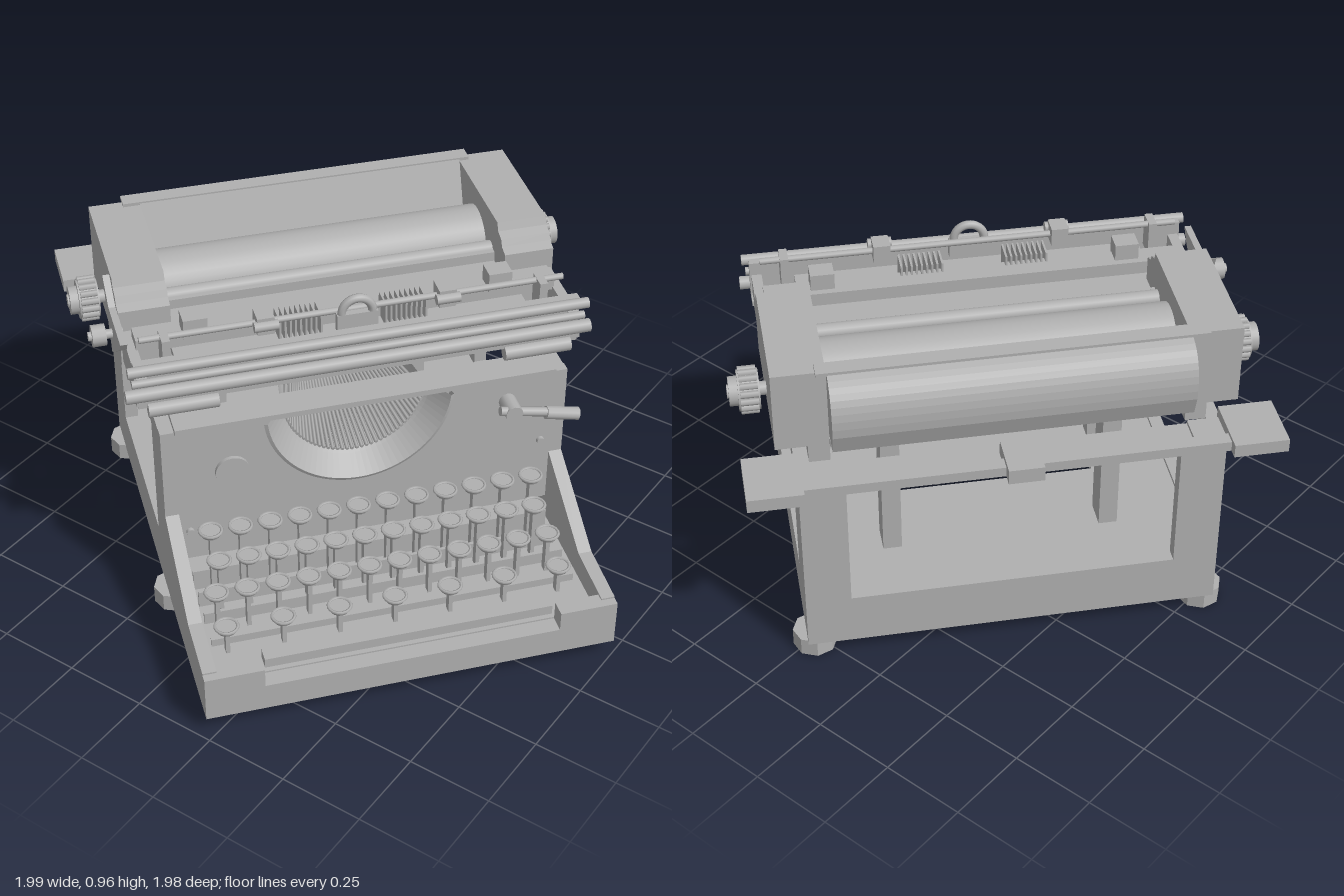
import * as THREE from 'three';

const gray = new THREE.MeshStandardMaterial({ color: 0xb0b0b0, side: THREE.DoubleSide });
gray.name = 'gray metal';

export function createModel() {
  const model = new THREE.Group();
  const machine = new THREE.Group();
  machine.name = 'typewriter';
  model.add(machine);

  const add = (name, geo, x = 0, y = 0, z = 0) => {
    const m = new THREE.Mesh(geo, gray);
    m.name = name;
    m.position.set(x, y, z);
    machine.add(m);
    return m;
  };
  const box = (name, x0, x1, y0, y1, z0, z1) =>
    add(name, new THREE.BoxGeometry(x1 - x0, y1 - y0, z1 - z0), (x0 + x1) / 2, (y0 + y1) / 2, (z0 + z1) / 2);
  // cylinder lying along x
  const bar = (name, x0, x1, y, z, r, sides = 16) =>
    add(name, new THREE.CylinderGeometry(r, r, x1 - x0, sides).rotateZ(Math.PI / 2), (x0 + x1) / 2, y, z);
  // cylinder between two points
  const rod = (name, a, b, r, sides = 8) => {
    const p = new THREE.Vector3(...a), d = new THREE.Vector3(...b).sub(p);
    const m = add(name, new THREE.CylinderGeometry(r, r, d.length(), sides));
    m.position.copy(p).addScaledVector(d, 0.5);
    m.quaternion.setFromUnitVectors(new THREE.Vector3(0, 1, 0), d.normalize());
  };
  const outline = pts => new THREE.Shape(pts.map(p => new THREE.Vector2(...p)));
  // (z, y) profile extruded from x0 to x1
  const slab = (name, shape, x0, x1) =>
    add(name, new THREE.ExtrudeGeometry(shape, { depth: x1 - x0, bevelEnabled: false, curveSegments: 10 }).rotateY(-Math.PI / 2), x1);

  // ---- frame: side walls with window, sloped cheek and hanging U bracket
  const side = outline([[-0.57, 0.05], [0.78, 0.05], [0.78, 0.2], [0.59, 0.21], [0.28, 0.38], [0.28, 0.66], [-0.15, 0.655], [-0.15, 0.6]]);
  side.absarc(-0.2, 0.6, 0.05, 0, -Math.PI, true);
  side.lineTo(-0.25, 0.655);
  side.lineTo(-0.57, 0.655);
  const win = new THREE.Path();
  win.moveTo(-0.395, 0.21);
  win.lineTo(0.155, 0.21);
  win.lineTo(0.155, 0.605);
  win.lineTo(-0.13, 0.605);
  win.absarc(-0.2, 0.6, 0.07, 0, -Math.PI, true);
  win.lineTo(-0.27, 0.605);
  win.lineTo(-0.395, 0.605);
  side.holes.push(win);
  slab('leftSideWall', side, 0.56, 0.6);
  slab('rightSideWall', side, -0.6, -0.56);

  // back frame
  box('backSill', -0.56, 0.56, 0.05, 0.21, -0.57, -0.53);
  box('backTopBeam', -0.56, 0.56, 0.605, 0.655, -0.57, -0.5);
  for (const s of [-1, 1]) {
    const span = (a, b) => (s > 0 ? [a, b] : [-b, -a]);
    box('backPost', ...span(0.47, 0.56), 0.21, 0.61, -0.57, -0.53);
    box('carriageBracket', ...span(0.59, 0.745), 0.655, 0.695, -0.67, -0.49);
    box('bracketArm', ...span(0.5, 0.6), 0.63, 0.665, -0.61, -0.5);
    box('hangingPlate', ...span(0.295, 0.35), 0.2, 0.59, -0.365, -0.28);
    box('hangingStrut', ...span(0.28, 0.32), 0.43, 0.65, -0.235, -0.185);
    box('topRunner', ...span(0.5, 0.56), 0.65, 0.71, -0.48, 0.18);
    for (const z of [-0.505, 0.24])
      add('foot', new THREE.CylinderGeometry(0.064, 0.064, 0.055, 8).toNonIndexed(), s * 0.575, 0.0275, z)
        .geometry.computeVertexNormals();
  }
  box('backRail', -0.6, 0.6, 0.655, 0.685, -0.64, -0.6);
  box('backTab', -0.06, 0.04, 0.655, 0.7, -0.675, -0.54);

  // raised rear floor with a slot, lower keyboard floor, cross members
  const floor = outline([[-0.56, -0.53], [0.56, -0.53], [0.56, 0.28], [-0.56, 0.28]]);
  floor.holes.push(new THREE.Path([[-0.33, -0.11], [-0.33, 0], [0.28, 0], [0.28, -0.11]].map(p => new THREE.Vector2(...p))));
  // shape y becomes z, thickness hangs below
  add('rearFloor', new THREE.ExtrudeGeometry(floor, { depth: 0.02, bevelEnabled: false }).rotateX(Math.PI / 2), 0, 0.2);
  box('keyboardFloor', -0.56, 0.56, 0.11, 0.13, 0.27, 0.745);
  box('crossMember', -0.56, 0.56, 0.05, 0.13, 0.17, 0.3);
  box('rearCrossMember', -0.56, 0.56, 0.05, 0.11, -0.55, -0.47);
  // front lip cut away for the space bar
  const lip = outline([[-0.6, 0.05], [0.6, 0.05], [0.6, 0.195], [0.43, 0.195], [0.43, 0.135], [-0.43, 0.135], [-0.43, 0.195], [-0.6, 0.195]]);
  add('frontLip', new THREE.ExtrudeGeometry(lip, { depth: 0.05, bevelEnabled: false }), 0, 0, 0.755);
  box('spaceBar', -0.42, 0.42, 0.16, 0.19, 0.715, 0.76);

  // ---- front panel with a round opening for the type basket
  const cx = -0.03, cy = 0.69, tilt = 0.1;
  const panel = outline([[-0.6, 0.2], [0.6, 0.2], [0.6, 0.665]]);
  panel.absarc(cx, cy, 0.25, -tilt, -Math.PI + tilt, true);
  panel.lineTo(-0.6, 0.665);
  add('frontPanel', new THREE.ExtrudeGeometry(panel, { depth: 0.03, bevelEnabled: false, curveSegments: 32 }), 0, 0, 0.27);
  const bowl = [[0.03, -0.13], [0.15, -0.13], [0.17, 0.02], [0.18, 0.02], [0.2, 0.16], [0.215, 0.26], [0.225, 0.27], [0.27, 0.33], [0.28, 0.325], [0.275, 0.3]];
  add('typeBasket', new THREE.LatheGeometry(bowl.map(p => new THREE.Vector2(...p)), 40, -Math.PI / 2 + tilt, Math.PI - 2 * tilt)
    .toNonIndexed().rotateX(Math.PI / 2), cx, cy, 0).geometry.computeVertexNormals();
  for (let i = 0; i < 40; i++) {
    const a = -1.36 + (2.72 * i) / 39, s = Math.sin(a), c = -Math.cos(a);
    rod('typeBar', [cx + s * 0.21, cy + c * 0.21, 0.27], [cx + s * 0.11, cy + c * 0.11, -0.1], 0.006, 4);
  }
  const disc = (name, x, y, r) => add(name, new THREE.CylinderGeometry(r, r, 0.015, 20).rotateX(Math.PI / 2), x, y, 0.304);
  disc('panelCap', -0.4, 0.5, 0.05);
  disc('panelScrew', 0.53, 0.42, 0.012);
  disc('panelScrew', -0.53, 0.3, 0.012);
  // side lever
  rod('leverPivot', [0.42, 0.585, 0.29], [0.42, 0.585, 0.37], 0.026, 12);
  rod('leverArm', [0.38, 0.595, 0.355], [0.55, 0.56, 0.355], 0.014);
  rod('leverGrip', [0.52, 0.563, 0.355], [0.62, 0.54, 0.355], 0.02, 10);
  box('ledge', -0.56, 0.56, 0.665, 0.682, 0.22, 0.315);

  // ---- keyboard: ringed round keys on flat stems
  const rows = [[0.39, 0.36, 12, -0.487, 0.473], [0.465, 0.31, 12, -0.48, 0.46], [0.54, 0.26, 12, -0.506, 0.478], [0.635, 0.215, 7, -0.5, 0.48]];
  for (const [z, y, n, x0, x1] of rows) {
    for (let i = 0; i < n; i++) {
      const x = x0 + ((x1 - x0) * i) / (n - 1);
      add('key', new THREE.CylinderGeometry(0.034, 0.028, 0.014, 14), x, y, z);
      add('keyRing', new THREE.TorusGeometry(0.032, 0.005, 5, 16).rotateX(Math.PI / 2), x, y + 0.007, z);
      box('keyStem', x - 0.006, x + 0.006, 0.13, y, z - 0.012, z + 0.012);
    }
    box('keyLeverBar', -0.54, 0.54, 0.13, 0.15 + (y - 0.2) * 0.3, z - 0.035, z - 0.025);
  }

  // ---- carriage: end housings with stepped front and low arms
  const housing = outline([[-0.48, 0.705], [0, 0.705], [0, 0.885], [-0.03, 0.895], [-0.04, 0.915], [-0.07, 0.925], [-0.08, 0.95], [-0.48, 0.95]]);
  for (const s of [-1, 1]) {
    slab('housing', housing, s * 0.575 - 0.075, s * 0.575 + 0.075);
    box('housingArm', s * 0.63 - 0.015, s * 0.63 + 0.015, 0.72, 0.82, 0, 0.24);
  }
  slab('rightSidePlate', outline([[-0.12, 0.94], [-0.035, 0.73], [0.13, 0.85], [0.15, 0.88], [-0.04, 0.88]]), -0.67, -0.65);
  box('carriageBed', -0.5, 0.5, 0.705, 0.73, -0.5, 0.2);
  box('carriageDeck', -0.52, 0.52, 0.79, 0.81, -0.17, 0.2);
  box('deckStrip', -0.5, 0.5, 0.81, 0.84, -0.13, -0.09);
  box('deckStrip', -0.62, 0.62, 0.81, 0.85, 0.03, 0.1);

  // paper table: rounded back, steep front slope, wider rim on top
  const table = outline([[-0.56, 0.74], [-0.58, 0.8]]);
  table.quadraticCurveTo(-0.595, 0.945, -0.48, 0.955);
  table.lineTo(-0.45, 0.955);
  table.lineTo(-0.37, 0.74);
  slab('paperTable', table, -0.5, 0.5);
  box('paperTableRim', -0.55, 0.53, 0.948, 0.96, -0.5, -0.45);

  // platen, knobs with ribbed rims
  bar('platen', -0.5, 0.5, 0.79, -0.265, 0.1, 32);
  bar('paperRoller', -0.5, 0.5, 0.83, -0.13, 0.025);
  bar('platenAxle', -0.76, 0.76, 0.765, -0.275, 0.02);
  for (const s of [-1, 1]) {
    bar('platenKnob', s * 0.7 - 0.03, s * 0.7 + 0.03, 0.765, -0.275, 0.058, 20);
    bar('knobCap', s * 0.735 - 0.02, s * 0.735 + 0.02, 0.765, -0.275, 0.042, 20);
    for (let i = 0; i < 16; i++) {
      const a = (i * Math.PI) / 8;
      bar('knobRib', s * 0.7 - 0.025, s * 0.7 + 0.025, 0.765 + 0.058 * Math.sin(a), -0.275 + 0.058 * Math.cos(a), 0.01, 6);
    }
  }
  bar('sideKnobAxle', -0.74, -0.64, 0.82, 0, 0.014);
  bar('sideKnob', -0.73, -0.69, 0.82, 0, 0.032, 12);

  // front rails
  bar('upperRail', -0.67, 0.67, 0.85, 0.245, 0.016);
  bar('lowerRail', -0.68, 0.68, 0.77, 0.245, 0.02);
  bar('middleRail', -0.66, 0.66, 0.81, 0.245, 0.012);
  box('railPlate', -0.65, 0.65, 0.75, 0.86, 0.205, 0.23);
  box('railFoot', -0.65, 0.65, 0.735, 0.75, 0.17, 0.25);
  bar('thinRod', -0.62, 0.62, 0.895, 0.16, 0.01, 10);
  for (const s of [-1, 1]) {
    bar('railRoller', s * 0.52 - 0.1, s * 0.52 + 0.1, 0.72, 0.25, 0.022);
    box('rodSupport', s * 0.55 - 0.012, s * 0.55 + 0.012, 0.8, 0.905, 0.14, 0.2);
    box('rodClamp', s * 0.265 - 0.025, s * 0.265 + 0.025, 0.87, 0.925, 0.13, 0.19);
    bar('clampRoller', s * 0.265 - 0.035, s * 0.265 + 0.035, 0.9, 0.19, 0.016, 10);
    box('marginBlock', s * 0.45 - 0.035, s * 0.45 + 0.035, 0.84, 0.9, 0.05, 0.11);
    for (let i = 0; i < 9; i++) {
      const x = s * 0.155 - 0.06 + i * 0.015;
      box('combTooth', x - 0.003, x + 0.003, 0.81, 0.88, 0.08, 0.15);
    }
  }
  // type guide arch in the middle
  add('typeGuide', new THREE.TorusGeometry(0.045, 0.013, 8, 20, Math.PI), 0, 0.895, 0.18);
  box('typeGuideBase', -0.06, 0.06, 0.84, 0.895, 0.17, 0.19);

  machine.rotation.y = 0.866;
  return model;
}
